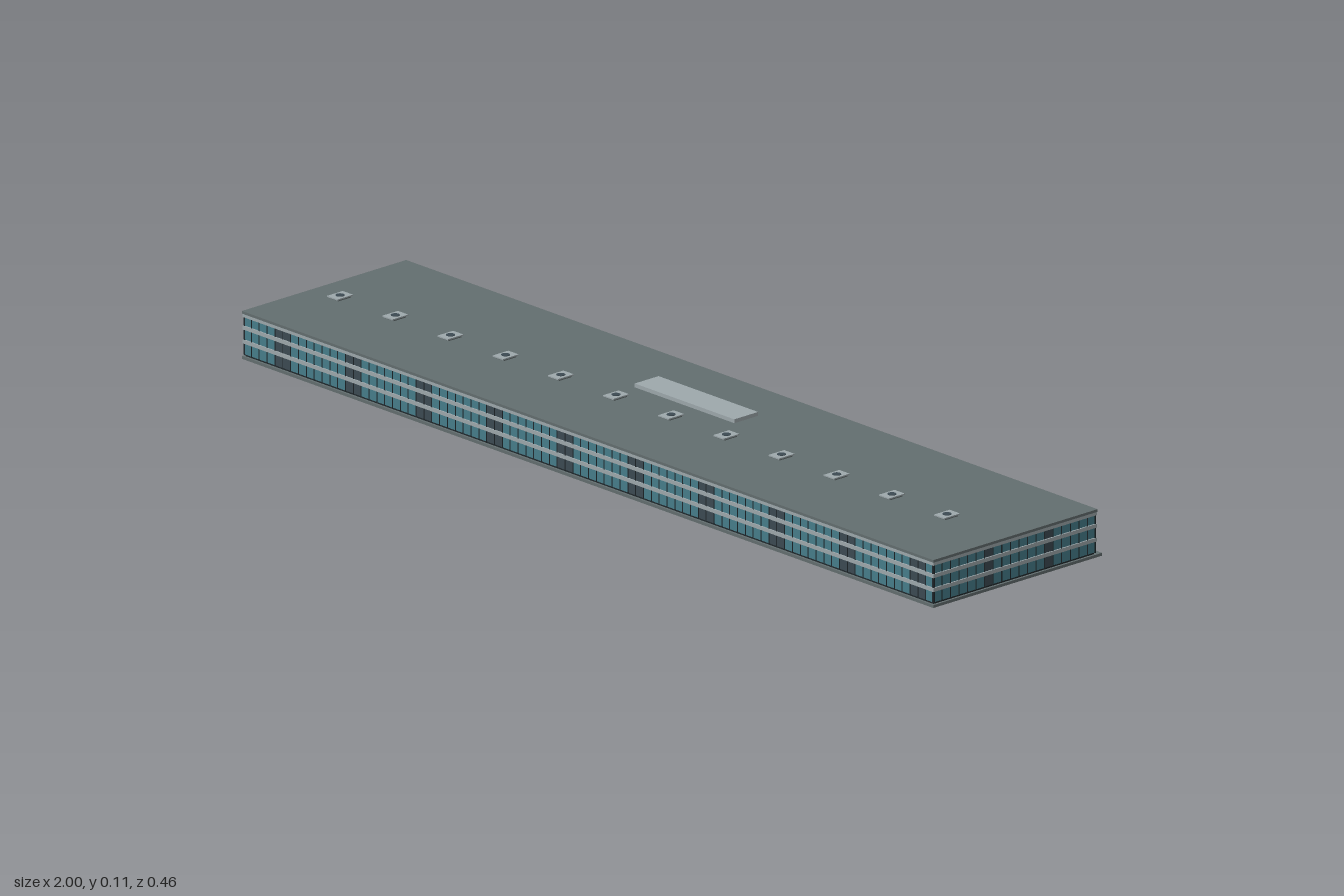
import * as THREE from 'three';
import { mergeGeometries } from 'three/addons/utils/BufferGeometryUtils.js';

const mat = (name, color) => new THREE.MeshStandardMaterial({ name, color });

// Box given by its lower and upper corners
function span(x0, x1, y0, y1, z0, z1) {
  return new THREE.BoxGeometry(x1 - x0, y1 - y0, z1 - z0)
    .translate((x0 + x1) / 2, (y0 + y1) / 2, (z0 + z1) / 2);
}

export function createModel() {
  const group = new THREE.Group();
  const roofGrey = mat('roofGrey', 0x636e6f);
  const lightGrey = mat('lightGrey', 0x9da8ac);
  const glass = mat('glass', 0x467d8a);
  const darkPanel = mat('darkPanel', 0x3c4a52);
  const frame = mat('frame', 0x20292d);

  const add = (name, geometries, material, parent = group) => {
    const mesh = new THREE.Mesh(mergeGeometries([geometries].flat()), material);
    mesh.name = name;
    parent.add(mesh);
    return mesh;
  };

  const back = -0.207, front = 0.23, midZ = (back + front) / 2;
  const halfX = 0.998, halfZ = (front - back) / 2;
  const floors = [[0.010, 0.032], [0.041, 0.061], [0.070, 0.087]];

  // Ground slab, dark core and roof
  add('groundSlab', span(-1, 1, 0, 0.006, -0.221, 0.232), roofGrey);
  add('core', span(-halfX + 0.003, halfX - 0.003, 0.006, 0.09, back + 0.003, front - 0.003), frame);
  add('roofSlab', span(-1, 1, 0.0945, 0.1, back - 0.002, front + 0.002), roofGrey);

  // Light bands between the storeys and under the roof
  const bands = [[0.0325, 0.0405], [0.0615, 0.0695], [0.0875, 0.094]];
  add('storeyBands', bands.map(([a, b]) => span(-halfX - 0.001, halfX + 0.001, a, b, back - 0.001, front + 0.001)), lightGrey);

  // Curtain wall built facing +z, then turned into place
  function facade(name, width, bays, isDark, turn, x, z) {
    const wall = new THREE.Group();
    wall.name = name;
    const clear = [], dark = [], mullions = [];
    const bay = width / bays;
    for (const [y0, y1] of floors) {
      for (let i = 0; i < bays; i++) {
        const a = -width / 2 + i * bay;
        (isDark(i) ? dark : clear).push(span(a + 0.0008, a + bay - 0.0008, y0, y1, -0.004, -0.001));
      }
      for (let i = 0; i <= bays; i++) {
        const c = THREE.MathUtils.clamp(-width / 2 + i * bay, -width / 2 + 0.001, width / 2 - 0.001);
        mullions.push(span(c - 0.0009, c + 0.0009, y0 - 0.001, y1 + 0.001, -0.004, 0));
      }
    }
    add('windowPanes', clear, glass, wall);
    add('darkPanels', dark, darkPanel, wall);
    add('mullions', mullions, frame, wall);
    wall.rotation.y = turn;
    wall.position.set(x, 0, z);
    group.add(wall);
  }
  const longDark = i => i % 9 === 4 || i % 9 === 5;
  const endDark = i => i % 7 === 6;
  facade('frontFacade', 2 * halfX, 88, longDark, 0, 0, front);
  facade('backFacade', 2 * halfX, 88, i => longDark(87 - i), Math.PI, 0, back);
  facade('leftFacade', 2 * halfZ, 19, i => endDark(i), Math.PI / 2, halfX, midZ);
  facade('rightFacade', 2 * halfZ, 19, i => endDark(18 - i), -Math.PI / 2, -halfX, midZ);

  // Entrance at the back: canopy, posts and doors
  add('canopy', span(-0.18, 0.18, 0.0365, 0.04, -0.23, back), lightGrey);
  add('canopyPosts', [-0.172, 0.172].map(x => span(x - 0.0015, x + 0.0015, 0, 0.037, -0.2275, -0.2245)), frame);
  add('doorFrame', span(-0.056, 0.056, 0.006, 0.032, back - 0.003, back), frame);
  add('doors', [-0.04, -0.0133, 0.0133, 0.04].map(x =>
    span(x - 0.012, x + 0.012, 0.008, 0.03, back - 0.004, back - 0.002)), darkPanel);

  // Plant room and row of roof vents
  add('plantRoom', span(-0.145, 0.143, 0.1, 0.108, -0.093, -0.029), lightGrey);
  for (let i = 0; i < 12; i++) {
    const vent = new THREE.Group();
    vent.name = 'roofVent';
    vent.position.set(-0.925 + i * 0.1596, 0.1, 0.038);
    add('ventBase', span(-0.013, 0.013, 0, 0.003, -0.017, 0.017), roofGrey, vent);
    add('ventCap', span(-0.015, 0.015, 0.003, 0.0055, -0.021, 0.021), lightGrey, vent);
    add('ventFan', new THREE.CylinderGeometry(0.009, 0.009, 0.001, 16).translate(0, 0.006, 0), darkPanel, vent);
    group.add(vent);
  }
  return group;
}
